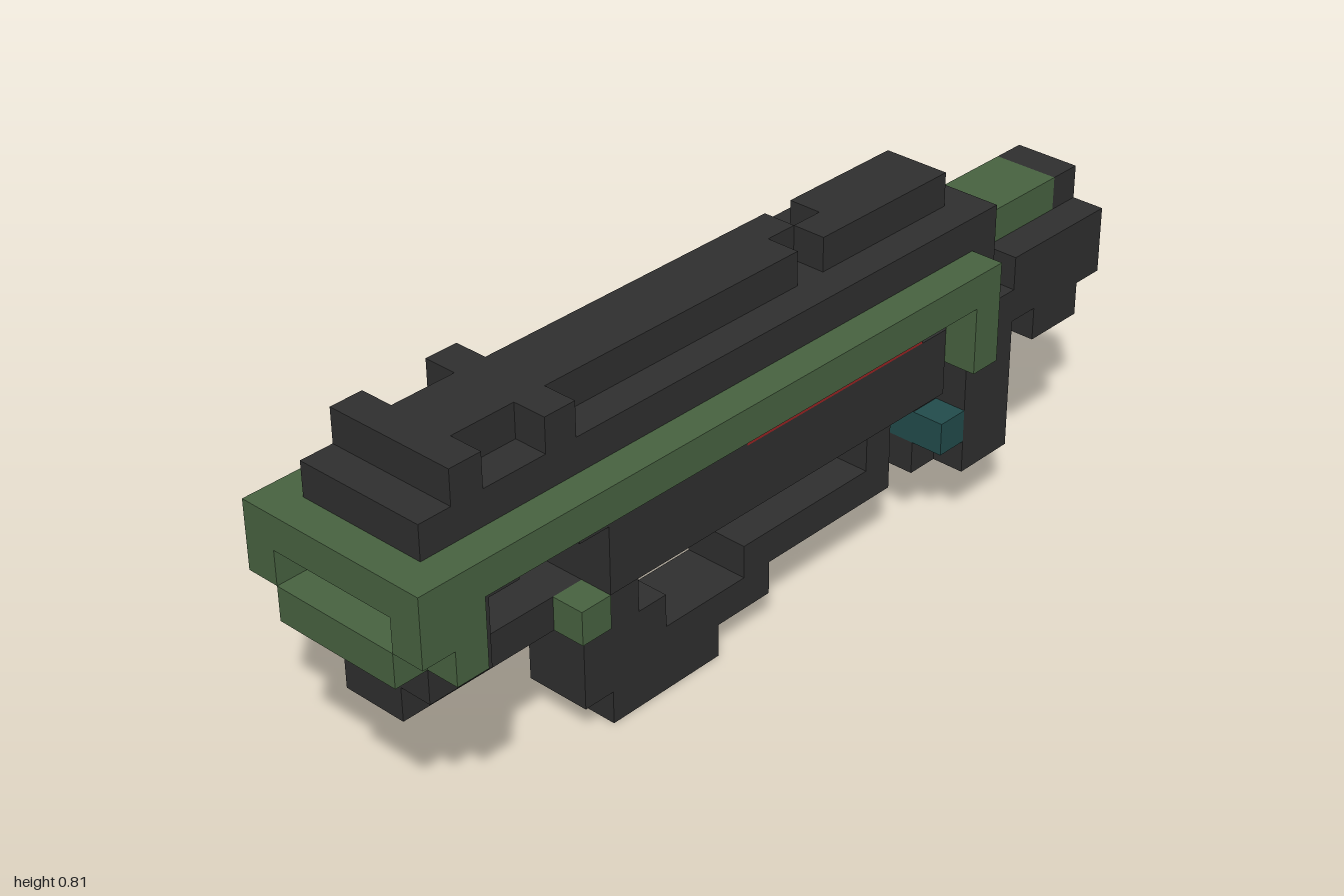
import * as THREE from 'three';

const U = 2 / 27; // one block

export function createModel() {
  const model = new THREE.Group();
  const mat = (name, color) => {
    const m = new THREE.MeshStandardMaterial({ color });
    m.name = name;
    return m;
  };
  const dark = mat('charcoal', 0x2f2f2f);
  const green = mat('olive green', 0x486341);
  const red = mat('red', 0x982323);
  const teal = mat('teal', 0x224c4c);

  // Box in block units: x range, y range, k range (k counts back from the front)
  const box = (name, material, x0, x1, y0, y1, k0, k1) => {
    const g = new THREE.BoxGeometry((x1 - x0) * U, (y1 - y0) * U, (k1 - k0) * U);
    const m = new THREE.Mesh(g, material);
    m.name = name;
    m.position.set((x0 + x1) / 2 * U, (y0 + y1) / 2 * U, 1 - (k0 + k1) / 2 * U);
    model.add(m);
  };
  // Centred box of half width w
  const mid = (name, material, w, ...r) => box(name, material, -w, w, ...r);
  // Mirrored pair
  const pair = (name, material, x0, x1, ...r) => {
    box(name + 'Left', material, x0, x1, ...r);
    box(name + 'Right', material, -x1, -x0, ...r);
  };

  // Top rail and sights
  mid('topCover', dark, 2, 9, 10, 1, 22);
  mid('frontSight', dark, 2, 10, 11, 2, 3);
  mid('railFront', dark, 1, 10, 11, 3, 5);
  mid('railCrossbar', dark, 2, 10, 11, 5, 6);
  mid('railMiddle', dark, 1, 10, 11, 6, 15);
  box('railStepRight', dark, -1, 0, 10, 11, 15, 16);
  box('railStepLeft', dark, 0, 1, 10, 11, 16, 17);
  mid('railRear', dark, 1, 10, 11, 17, 21);

  // Green side frame
  mid('frameFront', green, 3, 8, 9, 0, 1);
  pair('frameRail', green, 2, 3, 8, 9, 1, 21);
  pair('frameCheek', green, 2, 3, 7, 8, 0, 2);
  pair('frameFrontLeg', green, 2, 3, 6, 7, 1, 2);
  pair('frameRearLeg', green, 2, 3, 6, 8, 20, 21);
  mid('frontLip', green, 2, 6, 7, 0, 2);
  mid('frontLens', red, 2, 7, 8, 1, 2);

  // Receiver
  mid('upperBody', dark, 2, 8, 9, 1, 22);
  mid('frontBlock', dark, 2, 7, 8, 2, 4);
  mid('frontPost', dark, 2, 6, 7, 2, 3);
  mid('frontFoot', dark, 2, 5, 6, 1, 3);
  mid('lowerBar', dark, 1, 4, 5, 1, 7);
  pair('barStud', green, 1, 2, 4, 5, 6, 7);
  mid('bodyTop', dark, 2, 7, 8, 6, 12);
  mid('energyCell', red, 2, 7, 8, 12, 19);
  mid('body', dark, 2, 5, 7, 7, 20);

  // Lower handle and guard
  mid('handleUpper', dark, 1, 3, 5, 7, 9);
  mid('handleLower', dark, 1, 2, 3, 7, 10);
  mid('handleBase', dark, 1, 1, 2, 7, 14);
  mid('handleFoot', dark, 1, 0, 1, 8, 12);
  mid('guardBar', dark, 1, 2, 3, 13, 19);
  mid('guardPost', dark, 1, 3, 5, 18, 19);

  // Rear grip
  mid('gripBridge', dark, 2, 6, 7, 20, 21);
  mid('gripSwitch', red, 1, 5, 6, 20, 21);
  mid('gripFrontUpper', dark, 1, 4, 5, 20, 21);
  mid('gripButton', teal, 2, 3, 4, 20, 21);
  mid('gripFrontLower', dark, 1, 2, 3, 20, 21);
  mid('grip', dark, 2, 2, 6, 21, 23);
  mid('gripBack', dark, 1, 2, 6, 23, 24);
  mid('gripTop', dark, 2, 6, 7, 21, 24);

  // Stock with an open back
  pair('stockSideFront', dark, 1, 2, 7, 8, 23, 24);
  pair('stockSide', dark, 1, 2, 6, 8, 24, 27);
  mid('stockBase', dark, 2, 5, 6, 24, 26);
  mid('stockHeel', dark, 1, 5, 6, 26, 27);
  mid('stockTop', green, 1, 8, 9, 22, 26);
  mid('stockCap', dark, 1, 8, 9, 26, 27);

  return model;
}
